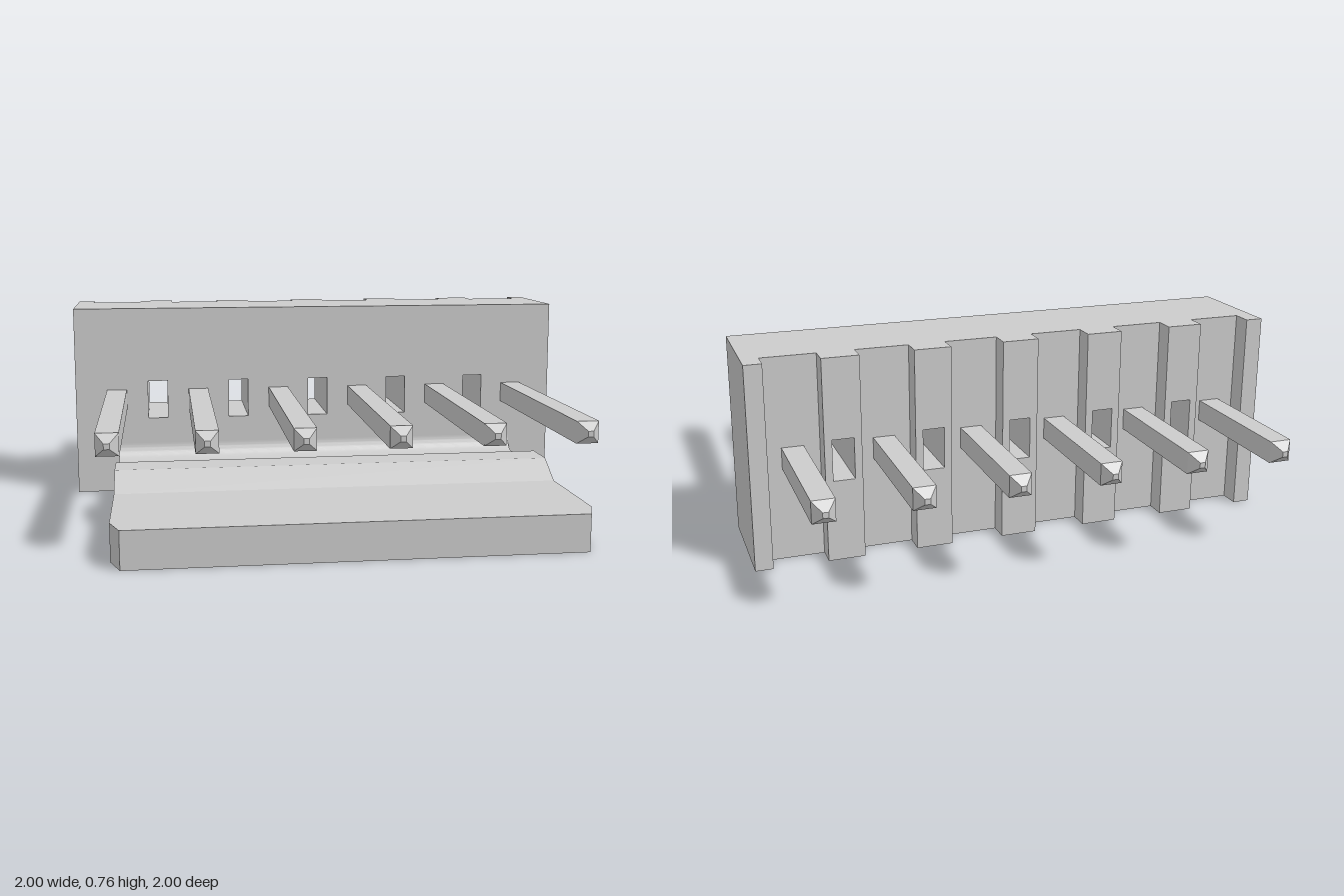
import * as THREE from 'three';
import { toCreasedNormals } from 'three/addons/utils/BufferGeometryUtils.js';

const PITCH = 1 / 3;
const material = new THREE.MeshStandardMaterial({ color: 0xcccccc });
const flatMaterial = new THREE.MeshStandardMaterial({ color: 0xcccccc, flatShading: true });

function polygon(points) {
  return new THREE.Shape(points.map(([x, y]) => new THREE.Vector2(x, y)));
}

// Upright slab between two z planes, with rectangular slots cut through it
function slab(name, x0, x1, zBack, zFront, slotCentres) {
  const shape = polygon([[x0, 0], [x1, 0], [x1, 0.76], [x0, 0.76]]);
  for (const c of slotCentres) {
    shape.holes.push(polygon([[c - 0.04, 0.305], [c - 0.04, 0.46], [c + 0.04, 0.46], [c + 0.04, 0.305]]));
  }
  const geometry = new THREE.ExtrudeGeometry(shape, { depth: zFront - zBack, bevelEnabled: false });
  geometry.translate(0, 0, zBack);
  const mesh = new THREE.Mesh(geometry, flatMaterial);
  mesh.name = name;
  return mesh;
}

// Latch plate: side profile (z, y) with a hump and a filleted root
function latchPlate() {
  const shape = polygon([[-0.12, 0], [0.9, 0], [0.9, 0.135], [0.5, 0.135], [0.39, 0.2], [0.25, 0.2], [0.19, 0.135]]);
  shape.lineTo(-0.055, 0.135);
  shape.absarc(-0.055, 0.2, 0.065, -Math.PI / 2, -Math.PI, true);
  shape.closePath();
  const geometry = new THREE.ExtrudeGeometry(shape, { depth: 1.66, bevelEnabled: false, curveSegments: 10 });
  geometry.translate(0, 0, -0.83);
  geometry.rotateY(-Math.PI / 2);
  const mesh = new THREE.Mesh(toCreasedNormals(geometry, 0.4), material);
  mesh.name = 'latchPlate';
  return mesh;
}

// Front lip of the plate with chamfered corners
function plateLip() {
  const shape = polygon([[-0.795, -1], [0.795, -1], [0.83, -0.9], [-0.83, -0.9]]);
  const geometry = new THREE.ExtrudeGeometry(shape, { depth: 0.135, bevelEnabled: false });
  geometry.rotateX(-Math.PI / 2);
  const mesh = new THREE.Mesh(geometry, flatMaterial);
  mesh.name = 'plateLip';
  return mesh;
}

// Square pin with blunt pyramid tips, running along z
function pinGeometry() {
  const r = 0.04 * Math.SQRT2, tip = 0.01 * Math.SQRT2;
  const profile = [[0, -1], [tip, -1], [r, -0.965], [r, 0.83], [tip, 0.865], [0, 0.865]];
  const geometry = new THREE.LatheGeometry(profile.map(([x, y]) => new THREE.Vector2(x, y)), 4, Math.PI / 4);
  geometry.rotateX(Math.PI / 2);
  return geometry;
}

export function createModel() {
  const model = new THREE.Group();
  const centres = [-2, -1, 0, 1, 2].map((i) => i * PITCH);

  // Housing wall with its slots
  model.add(slab('housingWall', -1, 1, -0.455, -0.12, centres));

  // Back ribs: slotted ones between the pins, narrow ones at the ends
  for (const c of centres) model.add(slab('backRib', c - 0.068, c + 0.068, -0.53, -0.455, [c]));
  model.add(slab('endRib', -1, -0.935, -0.53, -0.455, []));
  model.add(slab('endRib', 0.935, 1, -0.53, -0.455, []));

  model.add(latchPlate(), plateLip());

  // Row of pins
  const pin = pinGeometry();
  for (let i = 0; i < 6; i++) {
    const mesh = new THREE.Mesh(pin, flatMaterial);
    mesh.name = 'pin';
    mesh.position.set((i - 2.5) * PITCH, 0.385, 0);
    model.add(mesh);
  }
  return model;
}
